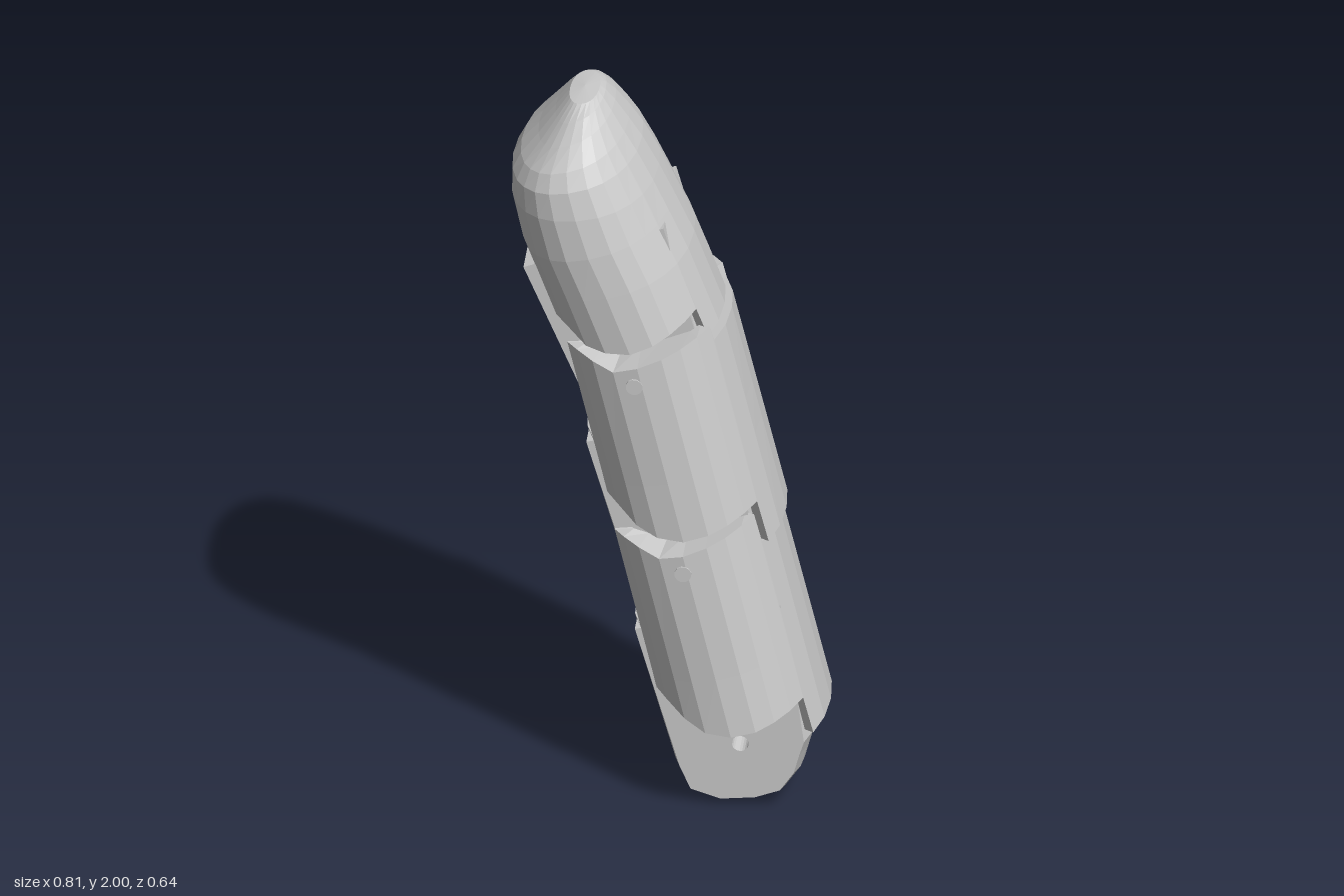
import * as THREE from 'three';

const material = new THREE.MeshStandardMaterial({ color: 0xcccccc, flatShading: true, side: THREE.DoubleSide });
const SLOT = 0.17; // half width of the hinge slot

// Angles round the section, doubled up where the slot edges make a step
const EDGE = 0.565;
const half = [0, 0.28, EDGE - 0.006, EDGE + 0.006, 0.8, 1.05, 1.3, 1.57, 1.84, 2.09, 2.34,
  Math.PI - EDGE - 0.006, Math.PI - EDGE + 0.006, 2.86, Math.PI];
const ANGLES = [...half, ...half.slice(1, -1).reverse().map(a => 2 * Math.PI - a)];

const power = (t) => Math.sign(t) * Math.abs(t) ** (2 / 2.2);

// Zone of the section: back of the finger, side cheek, or palm
function zone(a) {
  const b = a > Math.PI ? 2 * Math.PI - a : a;
  return b < EDGE ? 'back' : b > Math.PI - EDGE ? 'palm' : 'side';
}

// Piecewise linear lookup, table sorted by x
function lookup(table, x) {
  if (x <= table[0][0]) return table[0][1];
  for (let i = 1; i < table.length; i++) {
    const [x0, y0] = table[i - 1], [x1, y1] = table[i];
    if (x <= x1) return y0 + (y1 - y0) * (x - x0) / (x1 - x0);
  }
  return table[table.length - 1][1];
}

const LOWER = [[-0.19, 0.21], [-0.125, 0.184], [-0.08, 0.12], [0.035, 0.085], [0.19, 0.105]];
const UPPER = [[-0.13, 0.095], [-0.04, 0.042], [0.06, 0.055], [0.17, 0.072]];

const lowerEdge = (a, x, tab) => (zone(a) === 'back' ? tab : zone(a) === 'palm' ? 0.2 : lookup(LOWER, x));
const upperEdge = (a, x, L, back) =>
  L + (zone(a) === 'back' ? back : zone(a) === 'palm' ? -0.195 : lookup(UPPER, x));

// Skin rows of points; each row is a function angle -> [x, y, z]
function skin(rows) {
  const n = ANGLES.length, pos = [], index = [];
  rows.forEach(row => ANGLES.forEach(a => pos.push(...row(a))));
  for (let i = 0; i < rows.length - 1; i++) {
    for (let j = 0; j < n; j++) {
      const k = (j + 1) % n, p = i * n + j, q = i * n + k;
      index.push(p, p + n, q, q, p + n, q + n);
    }
  }
  const g = new THREE.BufferGeometry();
  g.setAttribute('position', new THREE.Float32BufferAttribute(pos, 3));
  g.setIndex(index);
  g.computeVertexNormals();
  return g;
}

function add(group, geometry, name) {
  const mesh = new THREE.Mesh(geometry, material);
  mesh.name = name;
  group.add(mesh);
  return mesh;
}

// Outer and slot-side points of the section
const outer = (a, cx, U, Z) => [cx + U * power(Math.cos(a)), Z * power(Math.sin(a))];
function inner(a, cx, U, Z) {
  const [x, z] = outer(a, cx, U * 0.86, Z * 0.86);
  return [x, THREE.MathUtils.clamp(z, -SLOT, SLOT)];
}

// Solid hinge tongue with a pin hole, rounded across its lower end
function tongueGeometry(top) {
  const shape = new THREE.Shape([
    [-0.188, top], [-0.192, -0.04], [-0.178, -0.12], [-0.1, -0.168], [0, -0.182], [0.077, -0.173],
    [0.13, -0.125], [0.16, -0.07], [0.184, -0.03], [0.195, top],
  ].map(p => new THREE.Vector2(...p)));
  const hole = new THREE.Path();
  hole.absarc(0, 0, 0.022, 0, Math.PI * 2, true);
  shape.holes.push(hole);
  const g = new THREE.ExtrudeGeometry(shape, { depth: 0.33, steps: 6, bevelEnabled: false, curveSegments: 10 });
  g.translate(0, 0, -0.165);
  const p = g.attributes.position;
  for (let i = 0; i < p.count; i++) {
    if (Math.hypot(p.getX(i), p.getY(i)) < 0.1 || p.getY(i) > 0) continue;
    const f = 1 - 0.12 * (Math.abs(p.getZ(i)) / 0.165) ** 3;
    p.setXY(i, p.getX(i) * f, p.getY(i) * f);
  }
  g.computeVertexNormals();
  return g;
}

// Finger section: hollow-topped shell with two hinge cheeks, tongue and pin
function segment(name, { L, cx, U, tab, back }) {
  const group = new THREE.Group();
  group.name = name;
  const row = (section, Z, height) => (a) => {
    const [x, z] = section(a, cx, U, Z);
    return [x, height(a, x), z];
  };
  const low = (a, x) => lowerEdge(a, x, tab);
  const high = (a, x) => upperEdge(a, x, L, back);
  add(group, skin([
    row(inner, 0.3, low),
    row(outer, 0.302, low),
    row(outer, 0.298, () => 0.26),
    row(outer, 0.296, () => 0.36),
    row(outer, 0.292, high),
    row(inner, 0.292, high),
    row(inner, 0.3, low),
  ]), 'shell');
  add(group, tongueGeometry(L - 0.2), 'hingeTongue');
  const pin = add(group, new THREE.CylinderGeometry(0.022, 0.022, 0.59, 12), 'hingePin');
  pin.rotation.x = Math.PI / 2;
  pin.position.y = L;
  return group;
}

// Fingertip: the same hinge below, a leaning dome above
function fingertip() {
  const group = new THREE.Group();
  group.name = 'fingertip';
  const cx = 0.02, U = 0.204;
  const base = (section) => (a) => {
    const [x, z] = section(a, cx, U, 0.29);
    return [x, lowerEdge(a, x, 0.02), z];
  };
  // palm x, palm y, back x, back y, half width
  const rings = [
    [-0.185, 0.28, 0.222, 0.24, 0.288], [-0.186, 0.4, 0.212, 0.36, 0.285],
    [-0.168, 0.53, 0.203, 0.45, 0.275], [-0.145, 0.59, 0.19, 0.54, 0.26],
    [-0.11, 0.622, 0.176, 0.6, 0.235], [-0.05, 0.655, 0.16, 0.66, 0.185],
    [0.01, 0.692, 0.147, 0.695, 0.135], [0.06, 0.725, 0.137, 0.71, 0.09],
    [0.1, 0.722, 0.1, 0.722, 0],
  ].map(([x0, y0, x1, y1, Z]) => (a) => {
    const t = (power(Math.cos(a)) + 1) / 2;
    return [x0 + (x1 - x0) * t, y0 + (y1 - y0) * t, Z * power(Math.sin(a))];
  });
  add(group, skin([base(inner), base(outer), ...rings]), 'dome');
  add(group, tongueGeometry(0.35), 'hingeTongue');
  return group;
}

export function createModel() {
  const model = new THREE.Group();
  model.name = 'jointedFinger';
  const place = (part, x, y, z, tilt) => {
    part.position.set(x, y, z);
    part.rotation.set(0.038, 0, THREE.MathUtils.degToRad(tilt));
    model.add(part);
  };
  place(segment('lowerSegment', { L: 0.575, cx: 0.011, U: 0.212, tab: 0, back: -0.01 }), 0.185, 0.19, -0.02, 13.3);
  place(segment('middleSegment', { L: 0.55, cx: 0.019, U: 0.217, tab: -0.015, back: 0.03 }), 0.057, 0.755, 0, 13.4);
  place(fingertip(), -0.07, 1.29, 0.02, 20);
  return model;
}
